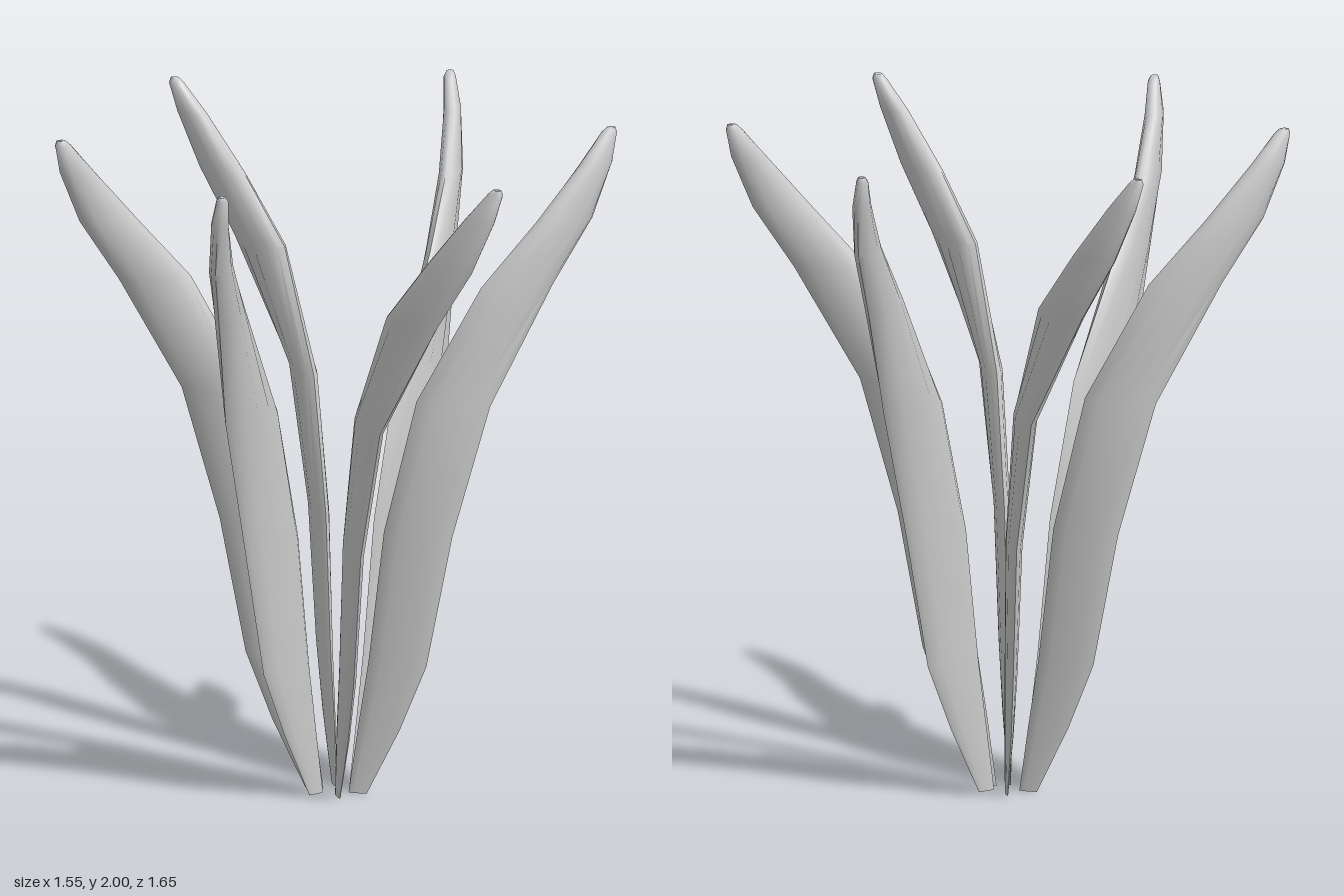
import * as THREE from 'three';
import { toCreasedNormals } from 'three/addons/utils/BufferGeometryUtils.js';

const LEAVES = 6;
const SIDES = 12;

// Leaf cross-sections: height, outward and sideways centre, half width, half thickness, turn in degrees
const SECTIONS = [
  [0.0, 0.07, -0.012, 0.028, 0.004, 0],
  [0.2, 0.135, -0.012, 0.064, 0.012, 0],
  [0.4, 0.192, -0.012, 0.09, 0.018, -2],
  [0.8, 0.255, -0.01, 0.106, 0.024, -2],
  [1.2, 0.357, 0.012, 0.112, 0.03, 3],
  [1.55, 0.527, 0.1, 0.108, 0.034, 28],
  [1.74, 0.648, 0.185, 0.087, 0.032, 35],
  [1.9, 0.724, 0.258, 0.052, 0.026, 40],
  [1.985, 0.752, 0.298, 0.025, 0.018, 42],
  [2.0, 0.757, 0.302, 0.014, 0.011, 42],
];

// Closed blade lofted through elliptical sections
function leafGeometry() {
  const pos = [];
  const index = [];
  for (const [y, out, side, width, thick, turn] of SECTIONS) {
    const t = THREE.MathUtils.degToRad(turn);
    for (let j = 0; j < SIDES; j++) {
      const a = (j / SIDES) * Math.PI * 2;
      const u = width * Math.cos(a);
      const w = thick * Math.sin(a);
      pos.push(
        out + u * Math.cos(t) - w * Math.sin(t),
        y,
        -(side + u * Math.sin(t) + w * Math.cos(t))
      );
    }
  }
  for (let i = 0; i < SECTIONS.length - 1; i++) {
    for (let j = 0; j < SIDES; j++) {
      const k = (j + 1) % SIDES;
      const a = i * SIDES + j, b = i * SIDES + k;
      index.push(a, b, b + SIDES, a, b + SIDES, a + SIDES);
    }
  }
  // End caps
  const top = (SECTIONS.length - 1) * SIDES;
  for (let j = 1; j < SIDES - 1; j++) {
    index.push(0, j + 1, j, top, top + j, top + j + 1);
  }
  const geo = new THREE.BufferGeometry();
  geo.setAttribute('position', new THREE.Float32BufferAttribute(pos, 3));
  geo.setIndex(index);
  return toCreasedNormals(geo, 1.1);
}

export function createModel() {
  const model = new THREE.Group();
  model.name = 'plant';
  const material = new THREE.MeshStandardMaterial({ color: 0xcccccc });
  const geometry = leafGeometry();

  // Ring of identical leaves
  for (let i = 0; i < LEAVES; i++) {
    const leaf = new THREE.Mesh(geometry, material);
    leaf.name = `leaf${i + 1}`;
    leaf.rotation.y = (i / LEAVES) * Math.PI * 2;
    leaf.position.set(0.008, 0, -0.012);
    model.add(leaf);
  }
  return model;
}
